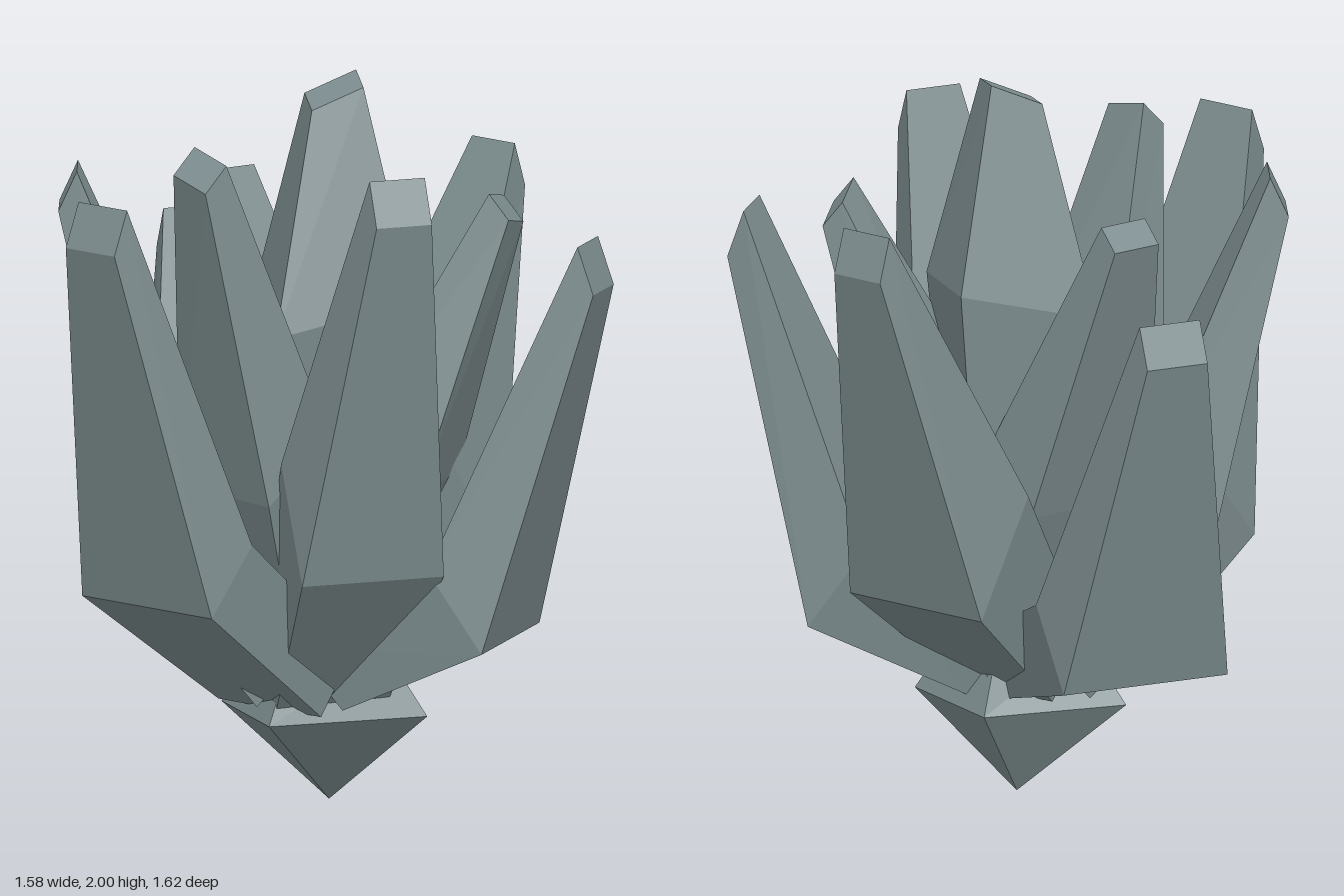
import * as THREE from 'three';

const stone = new THREE.MeshStandardMaterial({ color: 0x7e8e90, flatShading: true });
stone.name = 'greyCrystal';

// Faceted solid through four-cornered rings, listed from bottom to top,
// each anticlockwise seen from above.
function facetedSolid(name, rings) {
  const pos = [];
  const tri = (...pts) => pts.forEach((p) => pos.push(...p));
  const quad = (a, b, c, d) => { tri(a, b, c); tri(a, c, d); };
  for (let k = 0; k < rings.length - 1; k++) {
    for (let i = 0; i < 4; i++) {
      const j = (i + 1) % 4;
      quad(rings[k][i], rings[k][j], rings[k + 1][j], rings[k + 1][i]);
    }
  }
  quad(...rings[rings.length - 1]);
  quad(...[...rings[0]].reverse());
  const geo = new THREE.BufferGeometry();
  geo.setAttribute('position', new THREE.Float32BufferAttribute(pos, 3));
  geo.computeVertexNormals();
  const mesh = new THREE.Mesh(geo, stone);
  mesh.name = name;
  return mesh;
}

// Leaning crystal: each ring has an outer and an inner edge, given as
// [outer radius, outer height, inner radius, inner height, half width].
// Azimuth runs from +x towards +z, side holds the sideways shift of belly and
// tip, and roll slants the tip sideways.
function leaningCrystal({ name, az, side, base, belly, tip, roll = 0 }) {
  const a = THREE.MathUtils.degToRad(az), c = Math.cos(a), s = Math.sin(a);
  const at = (r, y, w) => [c * r + s * w, y, s * r - c * w];
  const ring = ([ro, yo, ri, yi, hw], o, dy = 0) => [
    at(ro, yo - dy, o - hw), at(ro, yo + dy, o + hw),
    at(ri, yi + dy, o + hw), at(ri, yi - dy, o - hw),
  ];
  return facetedSolid(name, [
    ring(base, side[0] * 0.5), ring(belly, side[0]), ring(tip, side[1], roll),
  ]);
}

const outerBase = [0.14, 0.29, 0.0, 0.45, 0.16];
const innerBase = [0.12, 0.36, -0.05, 0.42, 0.12];

const crystals = [
  // Outer circle
  { name: 'frontCrystal', az: 97, side: [-0.05, -0.055], base: [0.13, 0.28, 0.0, 0.45, 0.19],
    belly: [0.59, 0.62, 0.43, 0.8, 0.24], tip: [0.81, 1.63, 0.76, 1.75, 0.09] },
  { name: 'frontLeftCrystal', az: 33, side: [0.02, 0.043], base: outerBase,
    belly: [0.43, 0.69, 0.27, 1.0, 0.205], tip: [0.607, 1.7, 0.553, 1.82, 0.08] },
  { name: 'frontRightCrystal', az: 145, side: [-0.075, -0.091], base: outerBase,
    belly: [0.451, 0.68, 0.29, 0.97, 0.235], tip: [0.68, 1.63, 0.63, 1.74, 0.082] },
  { name: 'backRightCrystal', az: 213, side: [0.025, 0.02], base: outerBase,
    belly: [0.656, 0.44, 0.48, 0.65, 0.245], tip: [0.87, 1.39, 0.82, 1.5, 0.09] },
  { name: 'backLeftCrystal', az: -17, side: [0.06, 0.058], base: outerBase,
    belly: [0.555, 0.48, 0.4, 0.7, 0.24], tip: [0.822, 1.46, 0.777, 1.59, 0.085] },
  { name: 'backCrystal', az: -82.5, side: [0.036, 0.036], base: outerBase,
    belly: [0.55, 0.62, 0.35, 0.93, 0.23], tip: [0.8, 1.6, 0.76, 1.72, 0.08] },
  // Inner circle
  { name: 'innerRightCrystal', az: 200, side: [-0.04, -0.04], base: innerBase,
    belly: [0.29, 0.85, 0.1, 1.0, 0.2], tip: [0.5, 1.62, 0.44, 1.68, 0.075] },
  { name: 'innerLeftCrystal', az: -20, side: [0.11, 0.145], base: innerBase,
    belly: [0.33, 0.88, 0.12, 1.02, 0.2], tip: [0.54, 1.61, 0.485, 1.68, 0.073], roll: -0.015 },
  { name: 'innerFrontCrystal', az: 107, side: [-0.01, 0.04], base: innerBase,
    belly: [0.28, 0.88, 0.07, 1.05, 0.2], tip: [0.436, 1.765, 0.365, 1.835, 0.072], roll: -0.015 },
];

export function createModel() {
  const group = new THREE.Group();
  group.name = 'crystalCluster';
  crystals.forEach((spec) => group.add(leaningCrystal(spec)));

  // Tall crystal in the middle, with a slanted cut at the top
  group.add(facetedSolid('centreCrystal', [
    [[0.02, 0.3, 0.06], [0.16, 0.3, -0.08], [0.01, 0.3, -0.22], [-0.12, 0.3, -0.08]],
    [[0.04, 1.32, 0.21], [0.3, 1.41, -0.07], [0.01, 1.45, -0.36], [-0.25, 1.36, -0.08]],
    [[0.03, 1.92, 0.03], [0.13, 1.98, -0.07], [0.025, 2.0, -0.18], [-0.075, 1.94, -0.08]],
  ]));

  // Pointed root below
  const root = [0, 0, -0.09];
  group.add(facetedSolid('rootPoint', [
    [root, root, root, root],
    [[0.04, 0.255, 0.24], [0.3, 0.255, -0.13], [-0.02, 0.255, -0.29], [-0.28, 0.255, 0.02]],
    [[0.03, 0.43, 0.13], [0.19, 0.43, -0.09], [0.0, 0.43, -0.19], [-0.15, 0.43, 0.01]],
  ]));
  return group;
}
